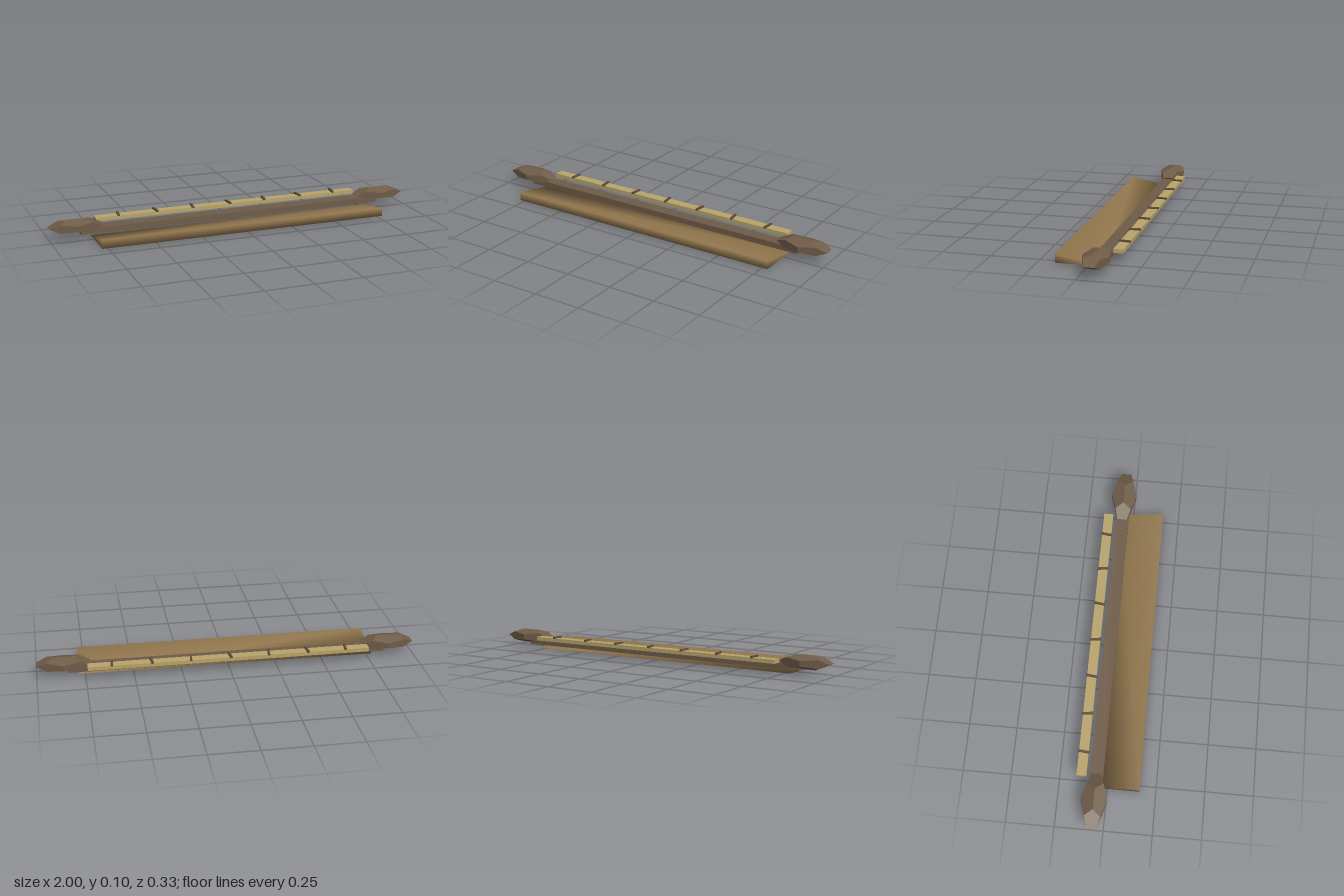
import * as THREE from 'three';

const mat = (color, flatShading = true) => new THREE.MeshStandardMaterial({ color, flatShading });

export function createModel() {
  const model = new THREE.Group();
  const stone = mat(0x6f5c48), soil = mat(0x92774e, false), straw = mat(0xb8a46b), twine = mat(0x5f4c3c);

  const add = (name, geometry, material, x, y, z) => {
    const mesh = new THREE.Mesh(geometry, material);
    mesh.name = name;
    mesh.position.set(x, y, z);
    model.add(mesh);
    return mesh;
  };

  // Sloping ramp: a wedge with shared corners, so its shading is smooth
  const w = 0.78, front = 0.165, back = -0.07, h = 0.045;
  const ramp = new THREE.BufferGeometry();
  ramp.setAttribute('position', new THREE.Float32BufferAttribute([
    -w, 0, front, w, 0, front, // 0, 1 front bottom
    -w, h, front, w, h, front, // 2, 3 front top
    -w, 0, back, w, 0, back,   // 4, 5 back edge
  ], 3));
  ramp.setIndex([
    0, 1, 3, 0, 3, 2, // front
    2, 3, 5, 2, 5, 4, // slope
    0, 4, 1, 4, 5, 1, // underside
    0, 2, 4, 1, 5, 3, // ends
  ]);
  ramp.computeVertexNormals();
  add('ramp', ramp, soil, 0, 0, 0);

  // Long beam joining the end stones
  add('beam', new THREE.BoxGeometry(1.68, 0.03, 0.068), stone, 0, 0.037, -0.059);

  // Stretched twelve-sided stones at both ends
  const rock = new THREE.DodecahedronGeometry(1);
  rock.scale(0.14 / 0.934, 0.0365 / 0.934, 0.0685 / 0.934);
  for (const side of [-1, 1])
    add(side > 0 ? 'leftStone' : 'rightStone', rock, stone, side * 0.86, 0.064, -0.06);

  // Pale strip behind the beam with slightly tilted ties across it
  add('strip', new THREE.BoxGeometry(1.48, 0.02, 0.05), straw, 0, 0.067, -0.135);
  const tie = new THREE.BoxGeometry(0.012, 0.01, 0.06);
  for (let i = 0; i < 7; i++) {
    const mesh = add('tie', tie, twine, (i - 3) * 0.205, 0.08, -0.135);
    mesh.rotation.y = i % 2 ? 0.12 : -0.12;
  }

  return model;
}
